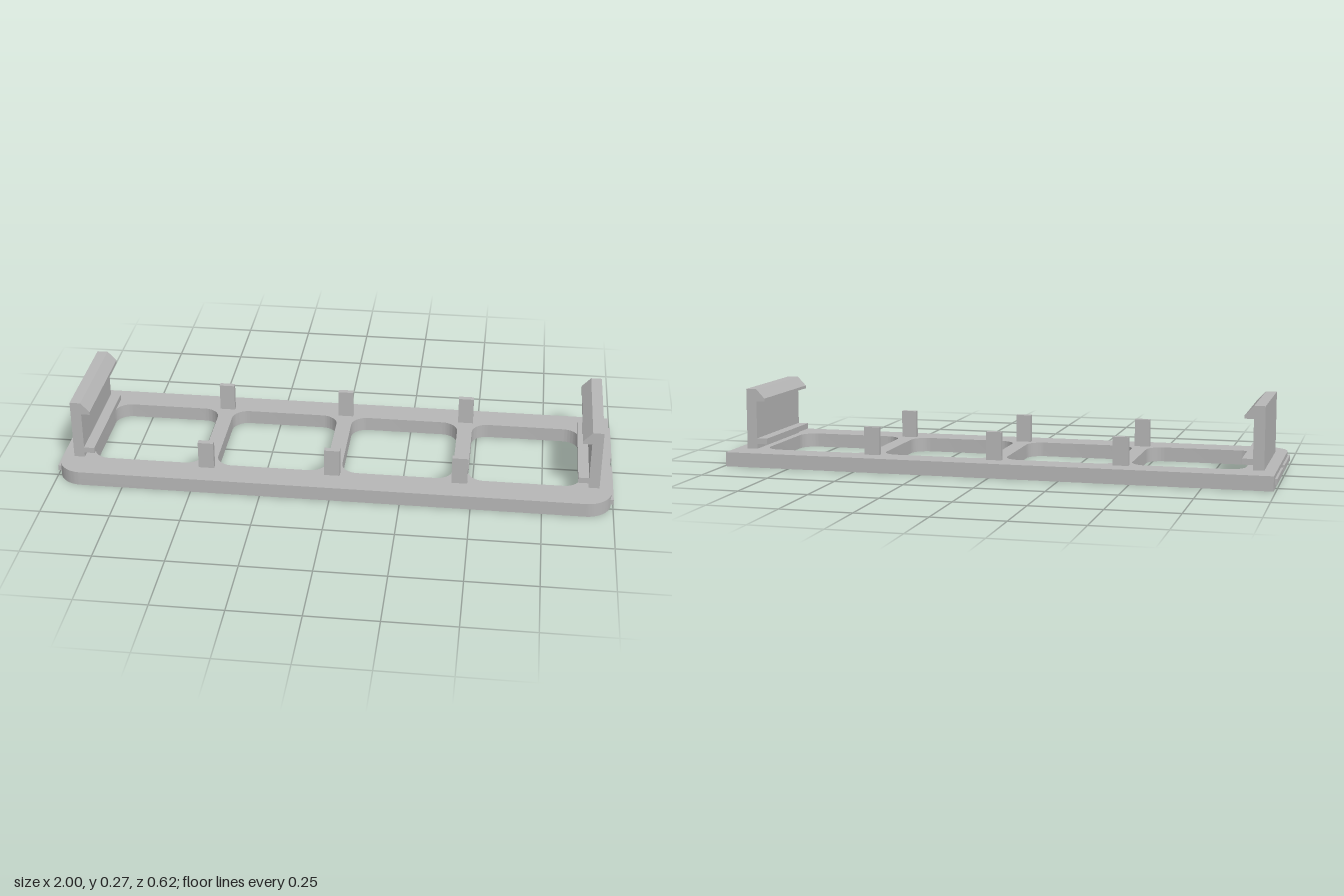
import * as THREE from 'three';
import { toCreasedNormals } from 'three/addons/utils/BufferGeometryUtils.js';

export function createModel() {
  const model = new THREE.Group();
  model.name = 'clipFrame';
  const grey = new THREE.MeshStandardMaterial({ color: 0xb6b6b6 });
  grey.name = 'grey plastic';

  const add = (name, geometry) => {
    const mesh = new THREE.Mesh(geometry, grey);
    mesh.name = name;
    model.add(mesh);
    return mesh;
  };
  // box given by its limits on each axis
  const box = (name, x0, x1, y0, y1, z0, z1) => {
    add(name, new THREE.BoxGeometry(x1 - x0, y1 - y0, z1 - z0))
      .position.set((x0 + x1) / 2, (y0 + y1) / 2, (z0 + z1) / 2);
  };

  const W = 0.992, D = 0.31, T = 0.052;      // plate half width, half depth, thickness
  const zBack = -0.207, zFront = 0.198;      // opening and clip limits

  // Base plate: rounded front corners, square back corners (shape y = -z)
  const R = 0.09;
  const plate = new THREE.Shape();
  plate.moveTo(-W, D);
  plate.lineTo(-W, -D + R);
  plate.absarc(-W + R, -D + R, R, Math.PI, Math.PI * 1.5, false);
  plate.lineTo(W - R, -D);
  plate.absarc(W - R, -D + R, R, Math.PI * 1.5, Math.PI * 2, false);
  plate.lineTo(W, D);
  plate.closePath();

  // Four rounded openings
  const r = 0.06;
  for (const cx of [-0.683, -0.228, 0.228, 0.683]) {
    const x0 = cx - 0.2, x1 = cx + 0.2, y0 = -zFront, y1 = -zBack;
    const hole = new THREE.Path();
    hole.moveTo(x0 + r, y0);
    hole.absarc(x1 - r, y0 + r, r, -Math.PI / 2, 0, false);
    hole.absarc(x1 - r, y1 - r, r, 0, Math.PI / 2, false);
    hole.absarc(x0 + r, y1 - r, r, Math.PI / 2, Math.PI, false);
    hole.absarc(x0 + r, y0 + r, r, Math.PI, Math.PI * 1.5, false);
    plate.holes.push(hole);
  }
  const plateGeo = new THREE.ExtrudeGeometry(plate, { depth: T, bevelEnabled: false, curveSegments: 12 });
  plateGeo.rotateX(-Math.PI / 2);
  add('basePlate', toCreasedNormals(plateGeo, 0.6));

  // Upright tabs on both sides of each cross bar
  for (const x of [-0.456, 0, 0.456]) {
    box('frontTab', x - 0.028, x + 0.028, T, 0.153, 0.203, 0.224);
    box('backTab', x - 0.028, x + 0.028, T, 0.153, -0.233, -0.213);
  }

  for (const [side, s] of [['left', 1], ['right', -1]]) {
    // End clip: wall with a hook at the top and a ledge near the foot
    const profile = new THREE.Shape([
      [0.95, T], [0.95, 0.274], [0.911, 0.274], [0.879, 0.24], [0.879, 0.229], [0.911, 0.229],
      [0.911, 0.091], [0.873, 0.091], [0.873, 0.07], [0.911, 0.07], [0.911, T],
    ].map(([x, y]) => new THREE.Vector2(s * x, y)));
    const clip = new THREE.ExtrudeGeometry(profile, { depth: 0.409, bevelEnabled: false });
    clip.translate(0, 0, -0.209);
    add(side + 'Clip', clip);

    // Two raised ribs on the plate's end face
    for (const [z0, z1] of [[0.017, 0.246], [-0.267, -0.039]]) {
      const a = s * (W - 0.004), b = s;
      box(side + 'Rib', Math.min(a, b), Math.max(a, b), 0.016, 0.036, z0, z1);
    }
  }
  return model;
}
